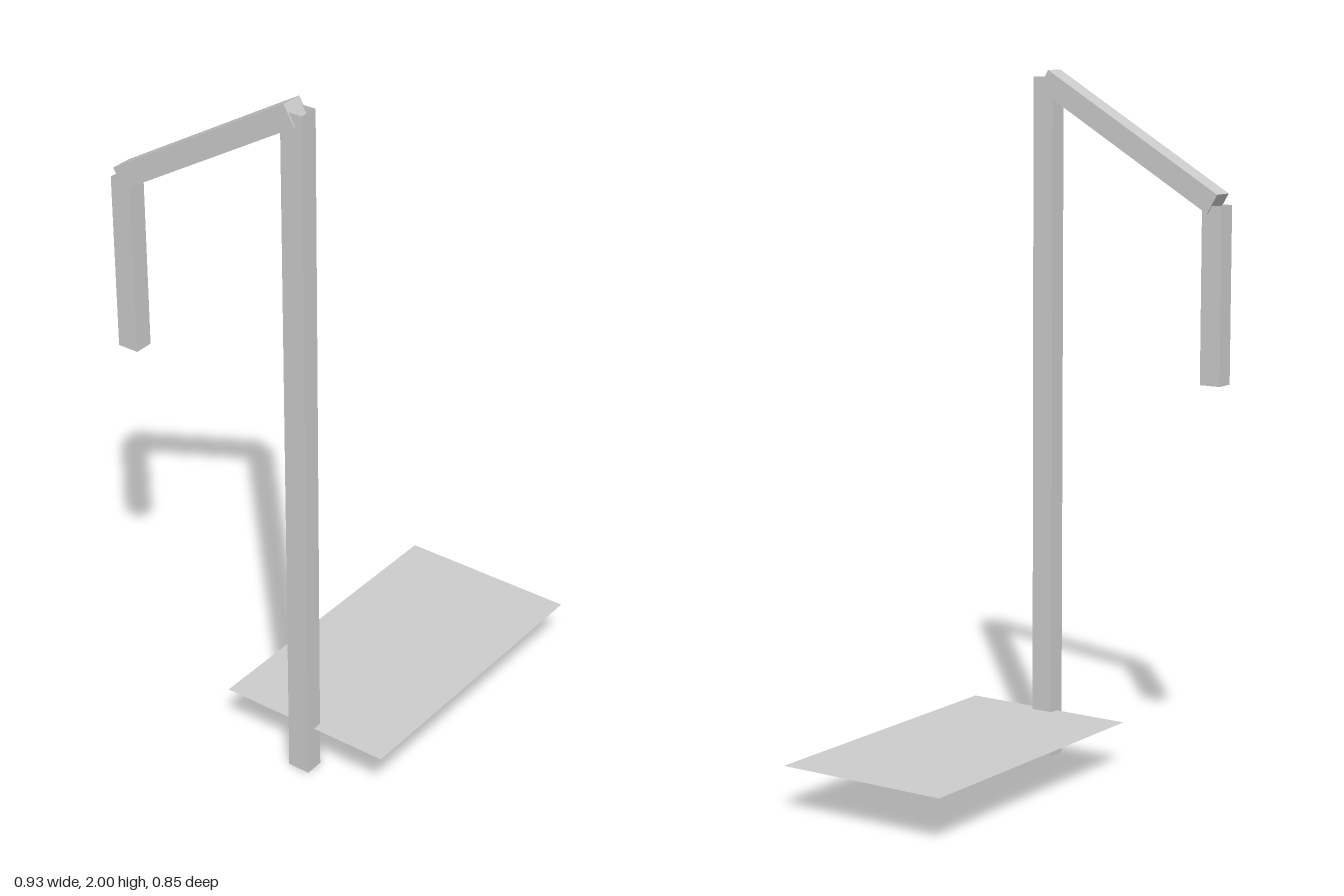
import * as THREE from 'three';

export function createModel() {
  const model = new THREE.Group();
  const grey = new THREE.MeshStandardMaterial({ color: 0xcccccc, side: THREE.DoubleSide });
  grey.name = 'plainGrey';

  const POLE_X = -0.435;

  function add(name, geometry, x, y, z) {
    const mesh = new THREE.Mesh(geometry, grey);
    mesh.name = name;
    mesh.position.set(x, y, z);
    model.add(mesh);
    return mesh;
  }

  // Rectangular tube without end caps
  function openTube(width, height, depth) {
    const tube = new THREE.CylinderGeometry(Math.SQRT1_2, Math.SQRT1_2, height, 4, 1, true);
    tube.rotateY(Math.PI / 4);
    tube.scale(width, 1, depth);
    const flat = tube.toNonIndexed();
    flat.computeVertexNormals();
    return flat;
  }

  // Flat horizontal sheet
  const sheet = (width, depth) => new THREE.PlaneGeometry(width, depth).rotateX(-Math.PI / 2);

  // Upright post and the shorter tube hanging behind it
  add('post', openTube(0.055, 1.98, 0.066), POLE_X, 0.99, 0.165);
  add('hangingTube', openTube(0.055, 0.497, 0.063), POLE_X, 1.3935, -0.3915);

  // Closed arm sloping down to the back, placed by its top front edge
  const slope = THREE.MathUtils.degToRad(30.5);
  const length = 0.645, thickness = 0.0625;
  const c = Math.cos(slope), s = Math.sin(slope);
  const arm = add('slopingArm', new THREE.BoxGeometry(0.0625, thickness, length), POLE_X,
    2 - (length / 2) * s - (thickness / 2) * c,
    0.146 - (length / 2) * c + (thickness / 2) * s);
  arm.rotation.x = -slope;

  // Thin base sheet and the tiny square just above it
  add('basePlate', sheet(0.9, 0.525), 0.015, 0.135, 0.1615);
  add('smallSquare', sheet(0.016, 0.019), -0.352, 0.143, 0.013);

  return model;
}
